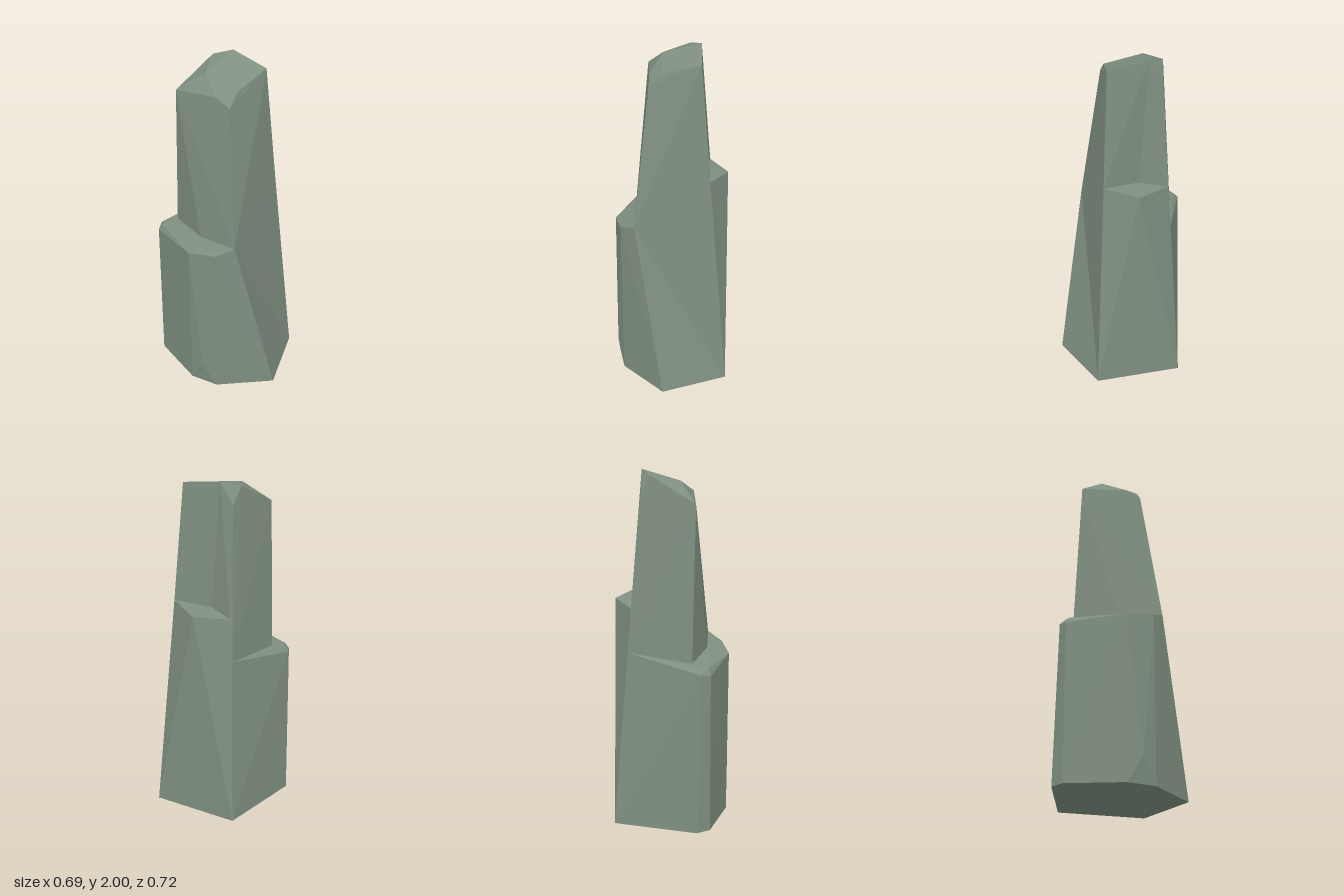
import * as THREE from 'three';
import { ConvexGeometry } from 'three/addons/geometries/ConvexGeometry.js';

export function createModel() {
  const group = new THREE.Group();
  group.name = 'rockPillar';
  const stone = new THREE.MeshStandardMaterial({ color: 0x7f8f80 });
  stone.name = 'mossy grey stone';

  // Each chunk is a faceted convex block around its corner points
  const chunk = (name, corners) => {
    const mesh = new THREE.Mesh(
      new ConvexGeometry(corners.map((c) => new THREE.Vector3(...c))), stone);
    mesh.name = name;
    group.add(mesh);
  };

  // Corners shared between neighbouring chunks
  const baseRight = [0.345, 0, 0.125], baseBack = [0.22, 0, -0.355];
  const frontNotch = [-0.175, 1.02, 0.23], backNotch = [0.155, 1, -0.287];
  const ledgeFront = [0.225, 1.285, 0.085], ledgeBack = [0.14, 1.25, -0.27];
  const ledgeInner = [0.13, 1.27, -0.11];
  const shaftLeft = [-0.23, 0.94, 0], shaftCorner = [-0.208, 0.9, -0.27];
  const tipBack = [-0.215, 1.83, -0.23], tipRidge = [0.03, 1.97, -0.225];
  const peak = [0.11, 2, -0.15];

  // Broad foot with its shoulder on the left and back
  chunk('foot', [
    [0.022, 0, 0.36], baseRight, baseBack, [-0.265, 0, -0.36],
    [-0.325, 0, -0.3], [-0.342, 0, 0.03], [-0.27, 0, 0.18],
    [-0.325, 0.15, 0.115], [-0.347, 0.95, 0.03], [-0.27, 0.98, 0.18],
    frontNotch, backNotch,
    [-0.275, 0.92, -0.338], [-0.322, 0.91, -0.3],
    [-0.265, 0.95, -0.31], [-0.305, 0.945, -0.285],
  ]);

  // Taller shoulder on the other side
  chunk('sideShoulder', [
    baseRight, baseBack, frontNotch, backNotch,
    ledgeFront, ledgeBack, ledgeInner, [0.282, 1.265, -0.11],
  ]);

  // Upper shaft, in two chunks that meet in a shallow hollow
  chunk('shaftFront', [
    frontNotch, shaftLeft, shaftCorner, ledgeFront, ledgeInner,
    tipBack, tipRidge, peak,
    [0.165, 1.96, 0.065], [-0.05, 1.9, 0.09], [-0.115, 1.83, 0.11],
    [-0.135, 1.87, 0.03], [-0.1, 1.94, -0.12],
  ]);
  chunk('shaftBack', [
    shaftLeft, shaftCorner, backNotch, ledgeBack, ledgeInner,
    tipBack, tipRidge, peak, [0.095, 1.88, -0.227],
  ]);

  return group;
}
